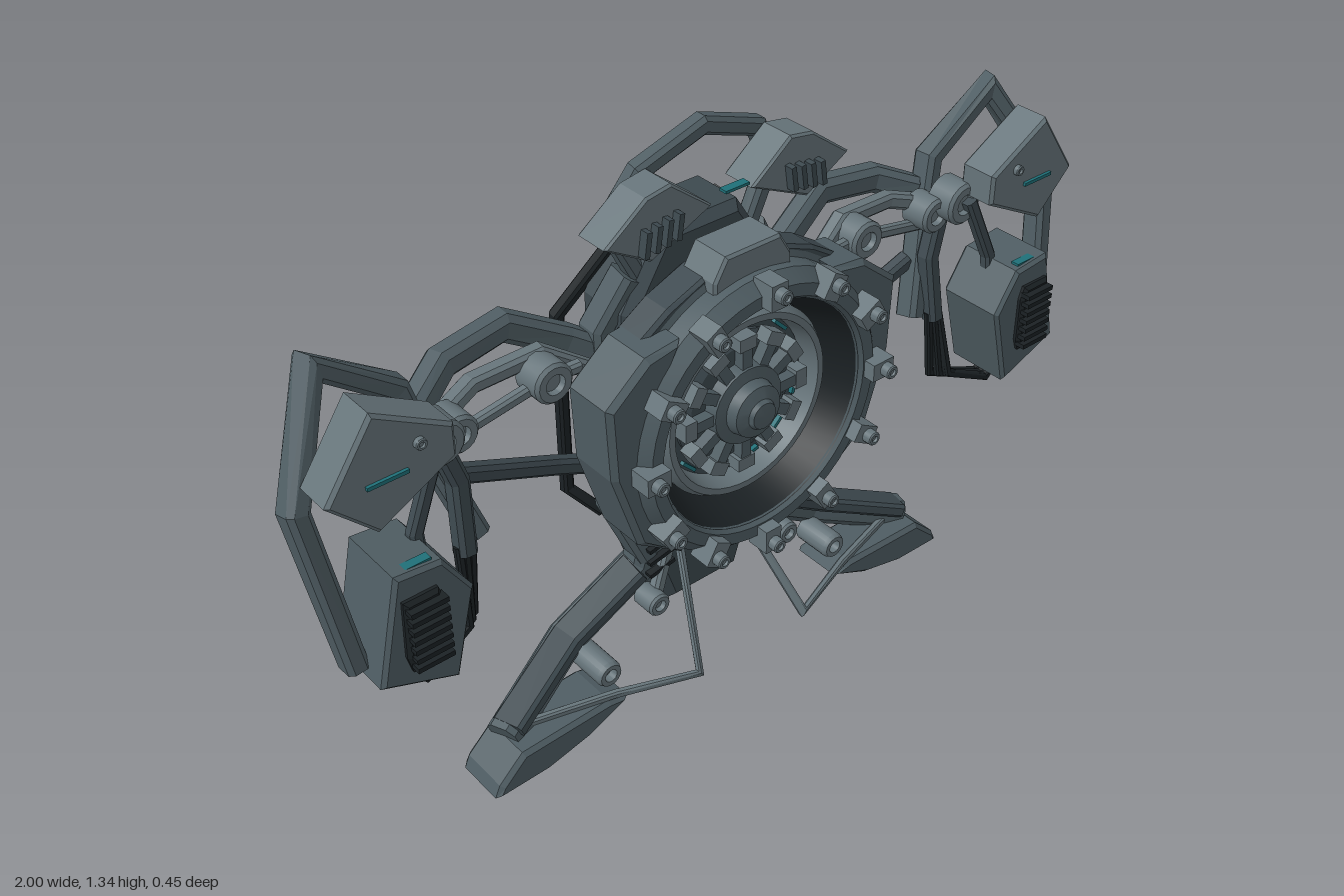
import * as THREE from 'three';
import { toCreasedNormals } from 'three/addons/utils/BufferGeometryUtils.js';

const mat = (color) => new THREE.MeshStandardMaterial({ color, flatShading: true });
const slate = mat(0x4f5d63), light = mat(0x66747a), deep = mat(0x3d494f), dark = mat(0x1b2124), teal = mat(0x1f7078);
const smooth = (m) => { const c = m.clone(); c.flatShading = false; return c; };

export function createModel() {
  const root = new THREE.Group();
  const add = (name, geo, m, x = 0, y = 0, z = 0) => {
    const mesh = new THREE.Mesh(geo, m);
    mesh.name = name;
    mesh.position.set(x, y, z);
    root.add(mesh);
    return mesh;
  };
  const box = (name, w, h, d, m, x, y, z, rz = 0) => {
    const b = add(name, new THREE.BoxGeometry(w, h, d), m, x, y, z);
    b.rotation.z = rz;
    return b;
  };
  // bevelled plate from an outline in x and y, between two depths
  const plate = (name, pts, z0, z1, m, bevel = 0.012, s = 1) => {
    const shape = new THREE.Shape(pts.map(([x, y]) => new THREE.Vector2(x * s, y)));
    const geo = new THREE.ExtrudeGeometry(shape, {
      depth: z1 - z0 - 2 * bevel, bevelEnabled: true, bevelThickness: bevel,
      bevelSize: bevel, bevelOffset: -bevel, bevelSegments: 1,
    });
    return add(name, geo, m, 0, 0, z0 + bevel);
  };
  // chamfered rectangular beam swept along a bent path with mitred corners
  const beam = (name, pts, w, d, m, s = 1) => {
    const p = pts.map(([x, y, z]) => new THREE.Vector3(x * s, y, z));
    const a = w / 2, b = d / 2, c = Math.min(a, b) * 0.45;
    const section = [[a, -b + c], [a, b - c], [a - c, b], [-a + c, b], [-a, b - c], [-a, -b + c], [-a + c, -b], [a - c, -b]];
    const rings = p.map((v, i) => {
      const h = Math.max(i, 1), j = Math.min(i, p.length - 2);
      const t0 = p[h].clone().sub(p[h - 1]).normalize();
      const t1 = p[j + 1].clone().sub(p[j]).normalize();
      const t = t0.clone().add(t1).normalize();
      const side = new THREE.Vector3().crossVectors(t, new THREE.Vector3(0, 0, 1)).normalize();
      const up = new THREE.Vector3().crossVectors(side, t);
      const miter = Math.min(1.4, 1 / t.dot(t1));
      return section.map(([u, k]) => v.clone().addScaledVector(side, u * miter).addScaledVector(up, k));
    });
    const verts = [], tri = (...vs) => vs.forEach((v) => verts.push(v.x, v.y, v.z));
    const n = section.length, last = rings.length - 1;
    for (let k = 0; k < n; k++) {
      const q = (k + 1) % n;
      for (let i = 0; i < last; i++) {
        const A = rings[i][k], B = rings[i][q], C = rings[i + 1][q], D = rings[i + 1][k];
        tri(A, C, B); tri(A, D, C);
      }
      tri(p[0], rings[0][k], rings[0][q]);
      tri(p[last], rings[last][q], rings[last][k]);
    }
    const geo = new THREE.BufferGeometry();
    geo.setAttribute('position', new THREE.Float32BufferAttribute(verts, 3));
    geo.computeVertexNormals();
    return add(name, geo, m);
  };
  const lathe = (name, prof, m, x, y, z, seg = 40) => {
    const g = new THREE.LatheGeometry(prof.map(([r, h]) => new THREE.Vector2(r, h)), seg);
    g.rotateX(Math.PI / 2);
    return add(name, toCreasedNormals(g, 0.5), smooth(m), x, y, z);
  };
  // round pivot with a recessed middle
  const pivot = (name, x, y, z, r, d) => lathe(name,
    [[0, -d], [r, -d], [r, d * 0.8], [r * 0.85, d], [r * 0.5, d], [r * 0.45, d * 0.6], [0, d * 0.6]], light, x, y, z, 16);

  // back slab with cooling ribs
  plate('backSlab', [[-0.1, 0.158], [0.1, 0.158], [0.2, 0.46], [0.2, 0.96], [0.1, 1.12], [-0.1, 1.12], [-0.2, 0.96], [-0.2, 0.46]],
    -0.18, -0.02, deep, 0.02);
  for (let i = 0; i < 12; i++) {
    box('backRib', 0.19, 0.014, 0.05, light, 0, 0.43 + i * 0.039, -0.198).rotation.x = 0.25;
  }

  // engine drum
  const cy = 0.737;
  lathe('drum', [[0, -0.06], [0.22, -0.055], [0.225, -0.04], [0.29, -0.025], [0.295, -0.005], [0.325, 0.02], [0.338, 0.05], [0.338, 0.1],
    [0.325, 0.105], [0.325, 0.15], [0.3, 0.178], [0.272, 0.178], [0.262, 0.165]], slate, 0, cy, 0, 48);
  lathe('drumFunnel', [[0.265, 0.17], [0.225, 0.06], [0.2, 0.05]], dark, 0, cy, 0, 48);
  lathe('innerRim', [[0.222, 0.05], [0.222, 0.1], [0.21, 0.12], [0.195, 0.12], [0.185, 0.07]], light, 0, cy, 0, 48);
  lathe('rotorFloor', [[0.187, 0.068], [0, 0.065]], deep, 0, cy, 0, 48);
  lathe('rotorDisc', [[0.155, 0.06], [0.155, 0.075], [0.13, 0.09], [0, 0.09]], deep, 0, cy, 0, 32);
  lathe('rotorHub', [[0.095, 0.08], [0.09, 0.12], [0.065, 0.125], [0.06, 0.15], [0.035, 0.16], [0.03, 0.17], [0, 0.175]], slate, 0, cy, 0, 24);
  for (let i = 0; i < 12; i++) {
    const a = (i / 12) * Math.PI * 2, c = Math.cos(a), n = Math.sin(a);
    box('rimClamp', 0.058, 0.042, 0.055, light, 0.304 * c, cy + 0.304 * n, 0.179, a);
    pivot('rimBolt', 0.31 * c, cy + 0.31 * n, 0.215, 0.016, 0.014);
    box('rotorBlade', 0.085, 0.026, 0.03, slate, 0.112 * c, cy + 0.112 * n, 0.1, a);
    box('bladeTip', 0.03, 0.045, 0.035, light, 0.15 * c, cy + 0.15 * n, 0.1, a);
    const b = a + Math.PI / 12;
    box('glowStrip', 0.008, 0.045, 0.012, teal, 0.175 * Math.cos(b), cy + 0.175 * Math.sin(b), 0.072, b);
  }
  plate('topCollar', [[-0.1, 0.97], [0.1, 0.97], [0.1, 1.07], [0.07, 1.12], [-0.07, 1.12], [-0.1, 1.07]], 0.03, 0.13, light, 0.006);
  box('statusLight', 0.06, 0.006, 0.02, teal, 0, 1.225, 0.07);

  // arched rail over the top
  beam('topRail', [[-0.13, 1.0, -0.06], [-0.21, 1.16, -0.065], [-0.15, 1.265, -0.04], [0, 1.32, -0.03], [0.15, 1.265, -0.04],
    [0.21, 1.16, -0.065], [0.13, 1.0, -0.06]], 0.038, 0.042, slate);

  for (const s of [-1, 1]) {
    // drum armour and spine
    plate('sideArmour', [[0.2, 1.0], [0.285, 0.99], [0.382, 0.91], [0.375, 0.74], [0.315, 0.55], [0.2, 0.47], [0.24, 0.6], [0.27, 0.74], [0.25, 0.9]],
      0.02, 0.155, slate, 0.012, s);
    plate('upperArmour', [[0.09, 0.98], [0.24, 0.94], [0.3, 0.88], [0.29, 0.97], [0.19, 1.035], [0.09, 1.075]], 0.02, 0.1, deep, 0.008, s);
    beam('backHose', [[0.12, 1.09, -0.13], [0.24, 0.9, -0.205], [0.24, 0.45, -0.205], [0.18, 0.38, -0.165]], 0.026, 0.03, dark, s);
    beam('sideSpine', [[0.16, 1.03, -0.07], [0.225, 0.92, -0.09], [0.235, 0.5, -0.05], [0.17, 0.34, -0.03]], 0.05, 0.07, slate, s);
    for (let i = 0; i < 5; i++) box('bellyFin', 0.07, 0.01, 0.03, dark, 0.15 * s, 0.31 + i * 0.034, 0.0, -0.2 * s);

    // top visor plates with vents
    plate('visorPlate', [[0.05, 1.2], [0.15, 1.28], [0.21, 1.27], [0.31, 1.195], [0.2, 1.13]], -0.02, 0.065, light, 0.005, s);
    for (let i = 0; i < 4; i++) box('visorVent', 0.012, 0.055, 0.025, deep, (0.145 + i * 0.026) * s, 1.195 - i * 0.004, 0.073, 0.15 * s);

    // upper arm
    beam('upperArm', [[0.18, 0.84, -0.07], [0.29, 0.91, -0.11], [0.42, 0.985, -0.135], [0.57, 0.97, -0.12], [0.66, 0.93, -0.075]], 0.06, 0.06, slate, s);
    beam('armLink', [[0.3, 0.89, -0.02], [0.4, 0.96, -0.04], [0.55, 0.95, -0.05], [0.64, 0.92, -0.03]], 0.035, 0.04, light, s);
    beam('armPiston', [[0.34, 0.93, 0.01], [0.42, 0.925, 0.0], [0.64, 0.87, -0.02]], 0.025, 0.025, light, s);
    beam('lowerStrut', [[0.2, 0.58, -0.07], [0.36, 0.65, -0.07], [0.62, 0.775, -0.04]], 0.038, 0.038, deep, s);
    pivot('shoulderPivot', 0.415 * s, 0.93, 0.0, 0.045, 0.035);
    pivot('elbowPivot', 0.63 * s, 0.912, 0.0, 0.042, 0.035);
    pivot('wristPivot', 0.685 * s, 0.935, 0.03, 0.05, 0.035);

    // pod frame
    beam('podFrame', [[0.6, 0.65, 0.0], [0.665, 0.86, -0.05], [0.7, 1.0, -0.07], [0.865, 1.122, -0.06], [0.977, 0.91, 0.03], [0.935, 0.56, 0.085]],
      0.046, 0.06, slate, s);
    beam('innerPodBeam', [[0.68, 0.95, 0.0], [0.635, 0.8, 0.01], [0.645, 0.64, 0.03]], 0.04, 0.045, deep, s);
    for (let i = 0; i < 3; i++) {
      const k = (i - 1) * 0.015;
      beam('podHose', [[0.645 + k, 0.66, 0.03], [0.66 + k, 0.49, 0.05 + k], [0.79, 0.44, 0.07 + k], [0.83, 0.5, 0.08 + k]], 0.018, 0.018, dark, s);
    }
    beam('podLink', [[0.7, 0.94, 0.06], [0.77, 0.78, 0.07], [0.77, 0.7, 0.08]], 0.03, 0.03, deep, s);

    // pod plates and grille
    plate('podUpperPlate', [[0.855, 1.118], [0.695, 1.025], [0.695, 0.955], [0.865, 0.865], [0.962, 0.965]], 0.035, 0.128, light, 0.007, s);
    box('podGlow', 0.085, 0.008, 0.02, teal, 0.84 * s, 0.975, 0.125);
    pivot('podBolt', 0.77 * s, 1.02, 0.128, 0.012, 0.012);
    plate('podLowerPlate', [[0.87, 0.785], [0.77, 0.775], [0.71, 0.68], [0.76, 0.48], [0.925, 0.545]], 0.0, 0.165, slate, 0.008, s);
    box('podTopGlow', 0.07, 0.01, 0.02, teal, 0.82 * s, 0.777, 0.14);
    plate('podGrilleBlock', [[0.79, 0.56], [0.86, 0.56], [0.87, 0.6], [0.865, 0.73], [0.79, 0.73], [0.78, 0.7], [0.78, 0.59]], 0.15, 0.18, dark, 0.008, s);
    for (let i = 0; i < 7; i++) box('podGrilleBar', 0.08, 0.011, 0.025, dark, 0.823 * s, 0.58 + i * 0.022, 0.183);

    // leg, foot and piston
    beam('leg', [[0.15, 0.4, -0.035], [0.17, 0.31, -0.04], [0.36, 0.175, -0.068], [0.59, 0.085, 0.015]], 0.075, 0.075, slate, s);
    beam('legCover', [[0.2, 0.32, -0.02], [0.37, 0.2, -0.045], [0.58, 0.112, 0.02]], 0.035, 0.08, deep, s);
    plate('foot', [[0.665, 0], [0.652, 0.03], [0.59, 0.088], [0.36, 0.094], [0.31, 0.078], [0.42, 0.025], [0.53, 0]], -0.045, 0.09, slate, 0.01, s);
    beam('legPiston', [[0.09, 0.33, 0.0], [0.155, 0.095, 0.145], [0.34, 0.1, 0.08], [0.58, 0.095, 0.01]], 0.018, 0.018, light, s);
    beam('legRod', [[0.12, 0.34, -0.01], [0.18, 0.25, 0.02]], 0.03, 0.03, light, s);
    pivot('anklePivot', 0.335 * s, 0.135, 0.01, 0.032, 0.05);
    pivot('kneePivot', 0.19 * s, 0.25, 0.025, 0.028, 0.03);
  }
  return root;
}
